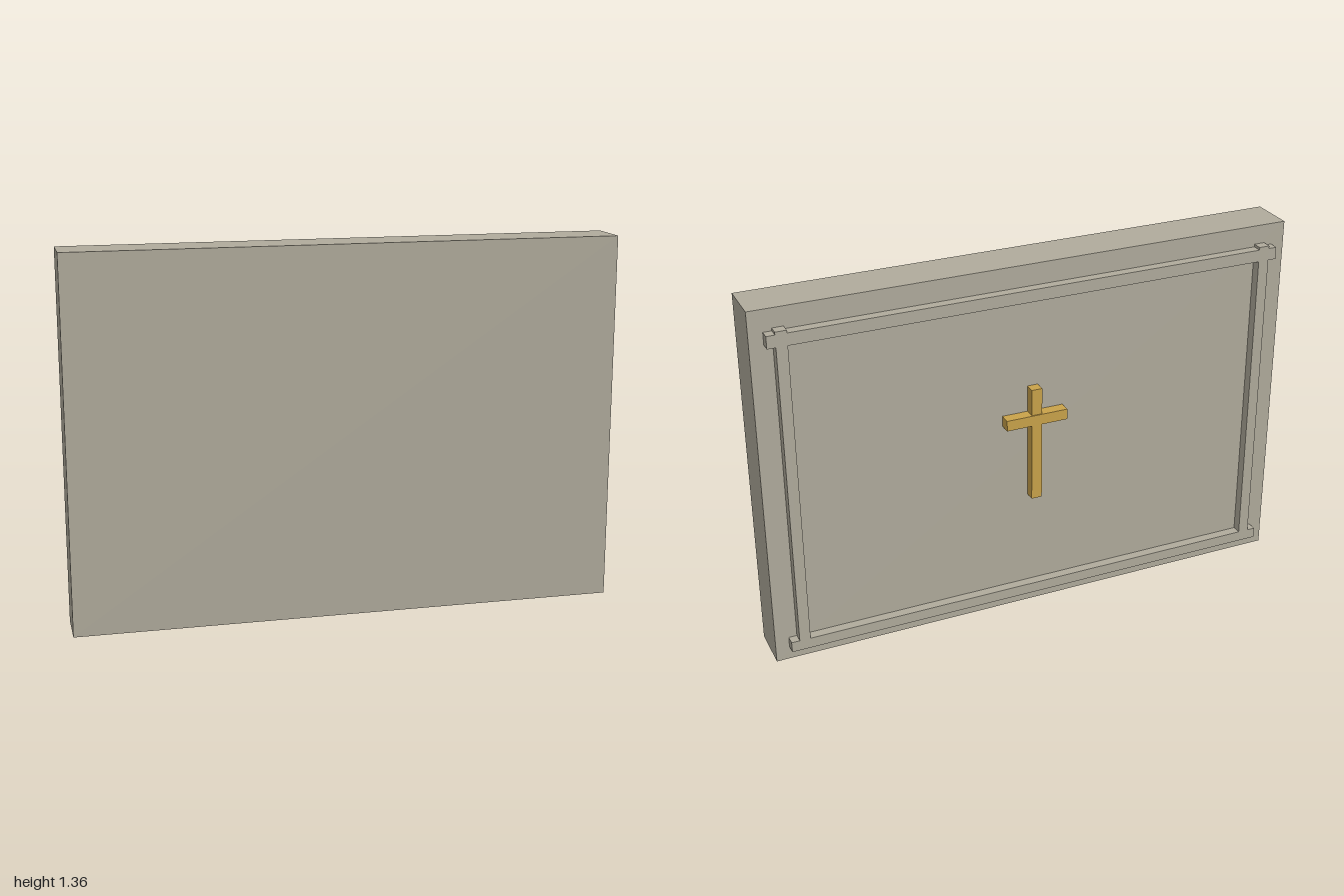
import * as THREE from 'three';

const stone = new THREE.MeshStandardMaterial({ name: 'stone', color: 0xb0ab9c });
const gold = new THREE.MeshStandardMaterial({ name: 'gold', color: 0xc9a24a });

// Box given by its limits on each axis
function block(name, material, [x0, x1], [y0, y1], [z0, z1]) {
  const mesh = new THREE.Mesh(new THREE.BoxGeometry(x1 - x0, y1 - y0, z1 - z0), material);
  mesh.position.set((x0 + x1) / 2, (y0 + y1) / 2, (z0 + z1) / 2);
  mesh.name = name;
  return mesh;
}

export function createModel() {
  const model = new THREE.Group();
  model.name = 'memorialPlaque';
  const back = -0.062; // rear face of the slab

  // Main slab
  model.add(block('slab', stone, [-1, 1], [0, 1.36], [back, 0.106]));

  // Raised border: two long rails and two side stiles crossing at the corners
  const border = new THREE.Group();
  border.name = 'border';
  const trim = [-0.098, back];
  border.add(block('topRail', stone, [-0.95, 0.95], [1.235, 1.28], trim));
  border.add(block('bottomRail', stone, [-0.95, 0.95], [0.05, 0.09], trim));
  border.add(block('leftStile', stone, [0.88, 0.92], [0.05, 1.29], trim));
  border.add(block('rightStile', stone, [-0.92, -0.88], [0.05, 1.29], trim));
  model.add(border);

  // Gold cross, the arm standing slightly proud of the upright
  const cross = new THREE.Group();
  cross.name = 'cross';
  cross.add(block('crossUpright', gold, [-0.02, 0.02], [0.46, 0.9], [-0.101, back]));
  cross.add(block('crossArm', gold, [-0.117, 0.117], [0.76, 0.8], [-0.105, back]));
  model.add(cross);

  return model;
}
